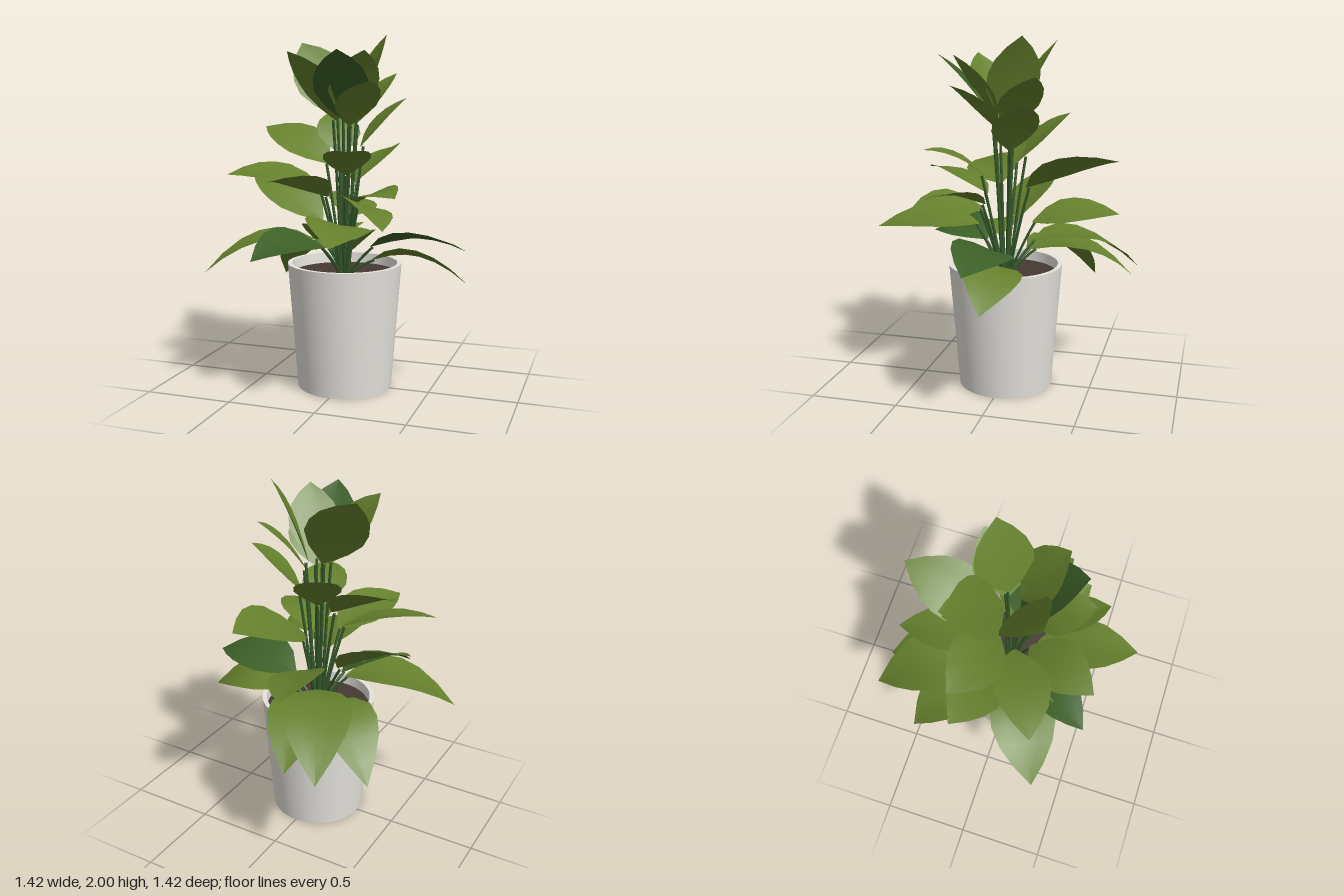
import * as THREE from 'three';
import { toCreasedNormals } from 'three/addons/utils/BufferGeometryUtils.js';

const UP = new THREE.Vector3(0, 1, 0);

// half width of a blade from its base to its tip
const OUTLINE = [0.06, 0.67, 0.98, 0.98, 0.81, 0.47, 0];

// leaf tips of each tier (x, y, z), the height where the blade begins,
// the roll about its midrib, and whether it is deep green
const TIERS = [
  { name: 'crownLeaves', arch: 0.025, leaves: [
    [-0.25, 1.9, 0.23, 1.53, -0.25], [-0.34, 1.97, -0.22, 1.55, 0.5], [0.2, 2, -0.14, 1.54, 0],
    [0.08, 1.9, 0.365, 1.53, 0, true], [0.24, 1.79, -0.22, 1.5, 0], [0.23, 1.74, 0.25, 1.5, 0],
    [0.19, 1.9, 0.24, 1.54, 0], [0.31, 1.65, -0.18, 1.38, 0], [-0.18, 1.57, -0.33, 1.33, 0],
  ] },
  { name: 'middleLeaves', arch: 0.04, leaves: [
    [-0.55, 1.48, -0.16, 1.28, 0.35], [0.17, 1.38, 0.43, 1.23, 0], [0.12, 1.35, -0.65, 1.17, 0.35],
    [-0.63, 1.19, -0.145, 0.95, 0.35], [-0.59, 1.23, 0.29, 1.16, 0.25], [-0.25, 1.22, 0.54, 1.11, -0.2],
    [0.39, 1.14, 0.35, 1.08, -0.2], [0.365, 0.99, 0.49, 1.06, 0.35], [0.16, 0.93, 0.71, 0.95, 0.2],
    [-0.13, 1.01, -0.63, 0.96, -0.25],
  ] },
  { name: 'lowLeaves', arch: 0.06, leaves: [
    [0.7, 0.63, -0.04, 0.74, 0.3], [0.71, 0.83, 0.045, 0.82, 0.25, true], [-0.71, 0.68, 0.35, 0.85, 0],
    [-0.34, 0.8, 0.54, 0.83, 0.3, true], [-0.39, 0.645, -0.715, 0.84, 0], [-0.195, 0.645, -0.7, 0.8, 0],
    [-0.55, 0.53, -0.44, 0.77, 0],
  ] },
];

// blades begin farther from the centre the lower they sit
const baseRadius = (y) => 0.05 + 0.11 * (1 - ((y - 0.75) / 0.8) ** 2);

// arched blade from base to tip, slightly folded along the midrib; longer blades are wider
function bladeGeometry(base, tip, arch, roll) {
  const halfWidth = 0.055 + 0.2 * base.distanceTo(tip);
  const droop = Math.max(0, base.y - tip.y);
  const mid = base.clone().lerp(tip, 0.5);
  mid.y += 2 * (arch + 0.25 * droop);
  const spine = new THREE.QuadraticBezierCurve3(base, mid, tip);
  const rows = OUTLINE.length - 1;
  const geo = new THREE.PlaneGeometry(2, 1, 4, rows);
  const pos = geo.attributes.position;
  const axis = tip.clone().sub(base).normalize();
  const side = axis.clone().cross(UP).normalize().applyAxisAngle(axis, -roll);
  for (let i = 0; i < pos.count; i++) {
    const s = pos.getX(i);
    const t = pos.getY(i) + 0.5;
    const w = halfWidth * OUTLINE[Math.round(t * rows)];
    const normal = side.clone().cross(spine.getTangent(t));
    const p = spine.getPoint(t)
      .addScaledVector(side, s * w)
      .addScaledVector(normal, Math.abs(s) * w * 0.1);
    pos.setXYZ(i, p.x, p.y, p.z);
  }
  geo.computeVertexNormals();
  return geo;
}

// slim stalk from the soil to just inside the blade
function stalkGeometry(base, outward) {
  const start = outward.clone().multiplyScalar(0.02).setY(0.64);
  const mid = start.clone().lerp(base, 0.5);
  mid.y += 0.02;
  const end = base.clone().addScaledVector(outward, 0.015);
  return new THREE.TubeGeometry(new THREE.QuadraticBezierCurve3(start, mid, end), 6, 0.008, 6);
}

function material(name, color, side = THREE.FrontSide) {
  const m = new THREE.MeshStandardMaterial({ color, side });
  m.name = name;
  return m;
}

function add(parent, name, geo, mat) {
  const mesh = new THREE.Mesh(geo, mat);
  mesh.name = name;
  parent.add(mesh);
}

export function createModel() {
  const leafGreen = material('leaf green', 0x65802d, THREE.DoubleSide);
  const deepGreen = material('deep leaf green', 0x3c5f27, THREE.DoubleSide);
  const stalkGreen = material('stalk green', 0x35592a);
  const potWhite = material('pot white', 0xe6e4de);
  const soilBrown = material('soil brown', 0x453932);

  const model = new THREE.Group();
  model.name = 'pottedPlant';

  // tapered pot with a thin rim
  const profile = [[0, 0], [0.27, 0], [0.325, 0.72], [0.3, 0.72], [0.295, 0.64]]
    .map(([x, y]) => new THREE.Vector2(x, y));
  add(model, 'pot', toCreasedNormals(new THREE.LatheGeometry(profile, 48), 0.6), potWhite);

  // soil
  const soil = new THREE.CircleGeometry(0.298, 48).rotateX(-Math.PI / 2).translate(0, 0.66, 0);
  add(model, 'soil', soil, soilBrown);

  // leaves on their stalks, tier by tier
  for (const { name, arch, leaves } of TIERS) {
    const tier = new THREE.Group();
    tier.name = name;
    model.add(tier);
    for (const [x, y, z, baseY, roll, deep] of leaves) {
      const tip = new THREE.Vector3(x, y, z);
      const outward = new THREE.Vector3(x, 0, z).normalize();
      const base = outward.clone().multiplyScalar(baseRadius(baseY)).setY(baseY);
      const leaf = new THREE.Group();
      leaf.name = 'leaf';
      tier.add(leaf);
      add(leaf, 'stalk', stalkGeometry(base, outward), stalkGreen);
      add(leaf, 'blade', bladeGeometry(base, tip, arch, roll), deep ? deepGreen : leafGreen);
    }
  }
  return model;
}
